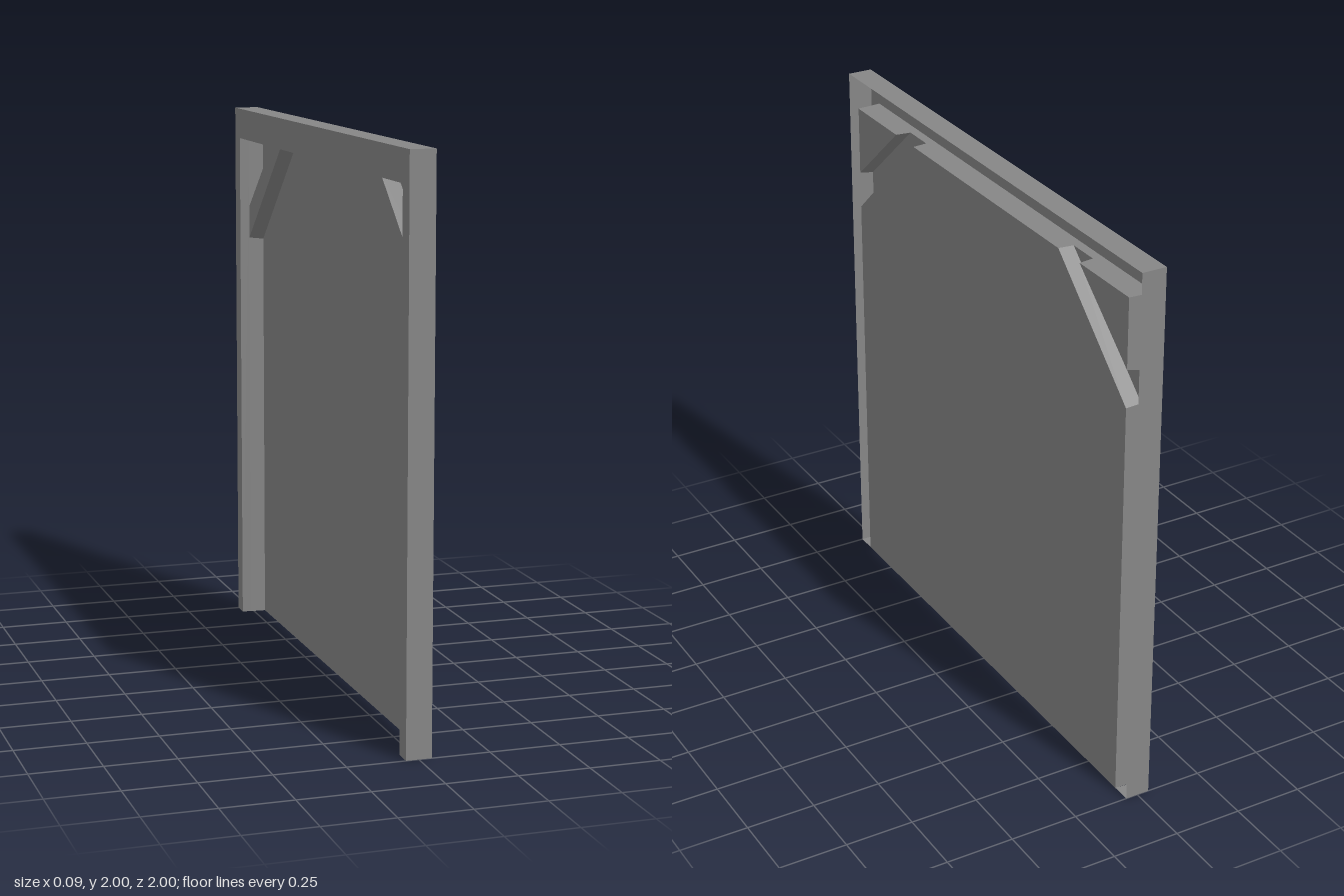
import * as THREE from 'three';

const FRONT = 0.045, MID = -0.01, BACK = -0.045; // depth levels along x
const TOP = 1.887; // underside of the top beam
const material = new THREE.MeshStandardMaterial({ color: 0x868686, side: THREE.DoubleSide, flatShading: true });

export function createModel() {
  const model = new THREE.Group();

  const add = (name, geometry) => {
    const mesh = new THREE.Mesh(geometry, material);
    mesh.name = name;
    model.add(mesh);
  };

  // Flat sheet facing x, outlined by [z, y] points
  const plate = (name, outline, x) => {
    const shape = new THREE.Shape(outline.map(([z, y]) => new THREE.Vector2(-z, y)));
    add(name, new THREE.ShapeGeometry(shape).rotateY(Math.PI / 2).translate(x, 0, 0));
  };

  // Folded sheet joining path a at depth xa to path b at depth xb
  const wall = (name, a, xa, b, xb) => {
    const pos = [];
    for (let i = 0; i + 1 < a.length; i++) {
      const p = [xa, a[i][1], a[i][0]], q = [xa, a[i + 1][1], a[i + 1][0]];
      const r = [xb, b[i + 1][1], b[i + 1][0]], s = [xb, b[i][1], b[i][0]];
      pos.push(...p, ...q, ...r, ...p, ...r, ...s);
    }
    const geometry = new THREE.BufferGeometry();
    geometry.setAttribute('position', new THREE.Float32BufferAttribute(pos, 3));
    geometry.computeVertexNormals();
    add(name, geometry);
  };

  const arch = (z, y) => [[z, 0], [z, y], [-z, y], [-z, 0]];
  const inner = arch(0.937, TOP), middle = arch(0.933, TOP), outer = arch(1, 2);

  // Channel frame: raised band, outer rim and inner rim
  plate('frameFace', [...outer, ...inner.slice().reverse()], BACK);
  wall('frameOuterRim', outer, FRONT, outer, BACK);
  wall('frameInnerRim', middle, MID, inner, BACK);

  // Main panel with cut corners
  plate('panel', [[0.929, 0], [0.929, 1.495], [0.5, TOP], [-0.5, TOP], [-0.929, 1.495], [-0.929, 0]], FRONT);
  wall('panelTopEdge', [[0.5, TOP], [-0.5, TOP]], FRONT, [[0.506, TOP], [-0.506, TOP]], MID);

  for (const [side, s] of [['left', 1], ['right', -1]]) {
    const m = (points) => points.map(([z, y]) => [z * s, y]);

    // Panel side edge and post foot
    wall(side + 'PanelEdge', m([[0.929, 0], [0.929, 1.495]]), FRONT, m([[0.933, 0], [0.933, 1.501]]), MID);
    wall(side + 'PostFoot', m([[0.929, 0], [1, 0]]), FRONT, m([[0.937, 0], [1, 0]]), BACK);

    // Corner triangle with its two outer edges
    const corner = m([[0.929, 1.632], [0.929, TOP], [0.632, TOP]]);
    plate(side + 'Corner', corner, FRONT);
    wall(side + 'CornerEdge', corner, FRONT, m([[0.933, 1.622], [0.933, TOP], [0.625, TOP]]), MID);

    // Diagonal brace channel
    const low = m([[0.933, 1.501], [0.506, TOP]]), high = m([[0.933, 1.622], [0.625, TOP]]);
    plate(side + 'BraceFace', [low[0], high[0], high[1], low[1]], MID);
    wall(side + 'BraceLowerWall', m([[0.929, 1.495], [0.5, TOP]]), FRONT, low, MID);
    wall(side + 'BraceUpperWall', [corner[0], corner[2]], FRONT, high, MID);
  }

  return model;
}
